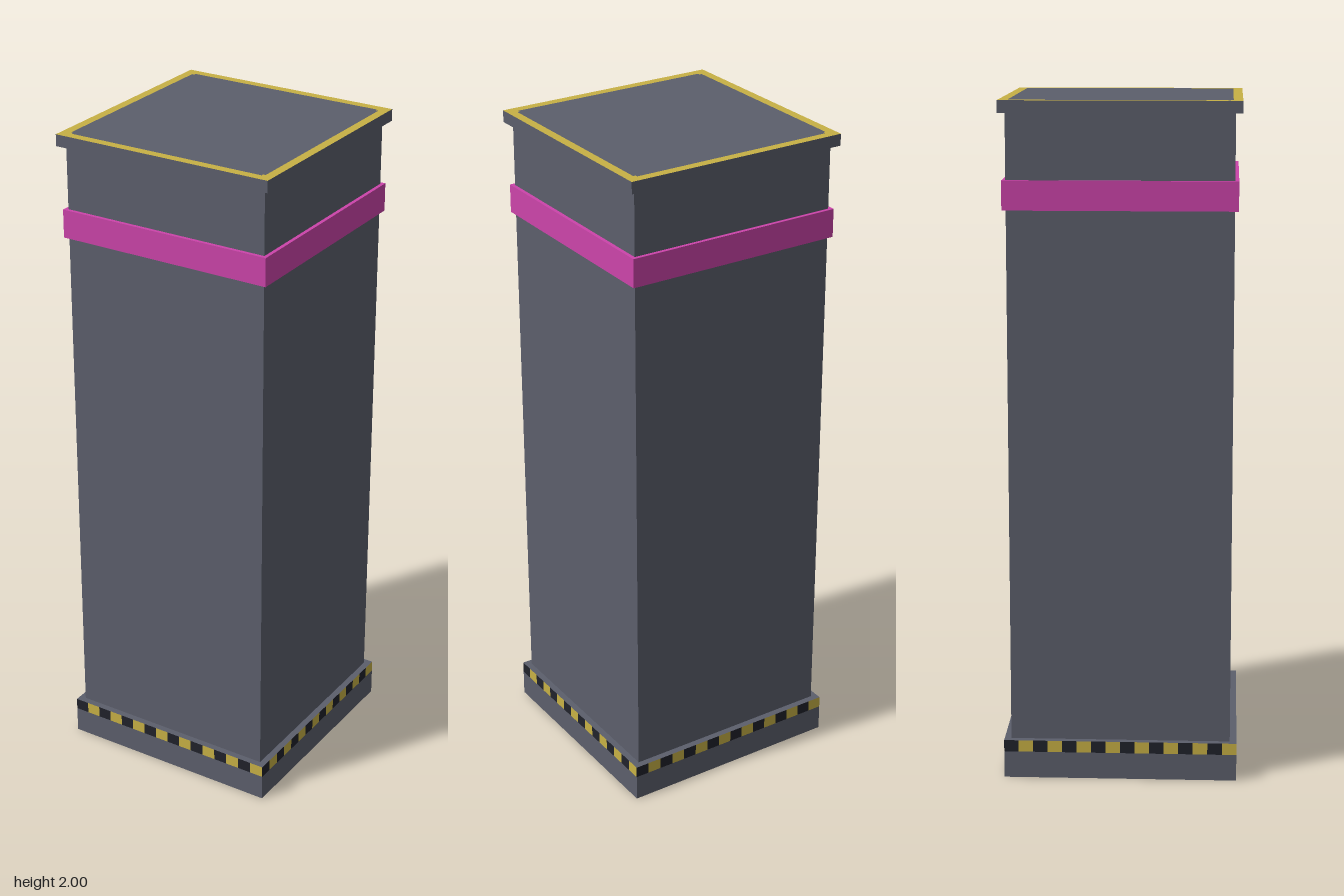
import * as THREE from 'three';
import { mergeGeometries } from 'three/addons/utils/BufferGeometryUtils.js';

const flat = (name, color, side = THREE.FrontSide) => {
  const m = new THREE.MeshStandardMaterial({ color, side });
  m.name = name;
  return m;
};

// Square box from y0 to y1; skipped faces: 2 = top, 3 = bottom
function squareBox(half, y0, y1, skip = []) {
  const g = new THREE.BoxGeometry(half * 2, y1 - y0, half * 2);
  const index = Array.from(g.index.array).filter((_, i) => !skip.includes(Math.floor(i / 6)));
  g.clearGroups();
  g.setIndex(index);
  return g.translate(0, (y0 + y1) / 2, 0);
}

// Square outline with small notched corners
function notchedPoints(r, n) {
  const pts = [];
  for (let i = 0; i < 4; i++) {
    const a = i * Math.PI / 2;
    for (const [x, y] of [[r, r - n], [r - n, r - n], [r - n, r]]) {
      pts.push(new THREE.Vector2(x, y).rotateAround(new THREE.Vector2(), a));
    }
  }
  return pts;
}

export function createModel() {
  const model = new THREE.Group();
  model.name = 'pillar';
  const grey = flat('slate grey', 0x5c5f6c, THREE.DoubleSide);
  const yellow = flat('warning yellow', 0xc8b145, THREE.DoubleSide);
  const black = flat('stripe black', 0x20222a, THREE.DoubleSide);
  const pink = flat('band pink', 0xcc44aa);

  const add = (name, geometry, material) => {
    const mesh = new THREE.Mesh(geometry, material);
    mesh.name = name;
    model.add(mesh);
  };

  const R = 0.345, stripeLow = 0.08, baseTop = 0.115, capLow = 1.965;

  // Hollow base skirt, open below, closed by a plate at its top
  add('baseSkirt', squareBox(R, 0, stripeLow, [2, 3]), grey);
  add('basePlate', new THREE.PlaneGeometry(R * 2, R * 2).rotateX(-Math.PI / 2).translate(0, baseTop, 0), grey);

  // Hazard stripes, sixteen blocks on each side, starting with black
  const count = 16, w = R * 2 / count;
  const blocks = [[], []];
  for (let side = 0; side < 4; side++) {
    for (let i = 0; i < count; i++) {
      blocks[i % 2].push(new THREE.PlaneGeometry(w, baseTop - stripeLow)
        .translate(-R + (i + 0.5) * w, (baseTop + stripeLow) / 2, R)
        .rotateY(side * Math.PI / 2));
    }
  }
  add('blackHazardStripes', mergeGeometries(blocks[0]), black);
  add('yellowHazardStripes', mergeGeometries(blocks[1]), yellow);

  // Shaft, coloured band and cap
  add('shaft', squareBox(0.325, baseTop, capLow, [2, 3]), grey);
  add('band', squareBox(0.336, 1.69, 1.775), pink);
  add('cap', squareBox(R, capLow, 2, [2]), grey);

  // Cap top: yellow border around a notched grey panel
  const inner = notchedPoints(0.318, 0.008);
  const border = new THREE.Shape([[-R, -R], [R, -R], [R, R], [-R, R]].map(p => new THREE.Vector2(...p)));
  border.holes.push(new THREE.Path(inner));
  const lay = shape => new THREE.ShapeGeometry(shape).rotateX(-Math.PI / 2).translate(0, 2, 0);
  add('capBorder', lay(border), yellow);
  add('capPanel', lay(new THREE.Shape(inner)), grey);

  return model;
}
